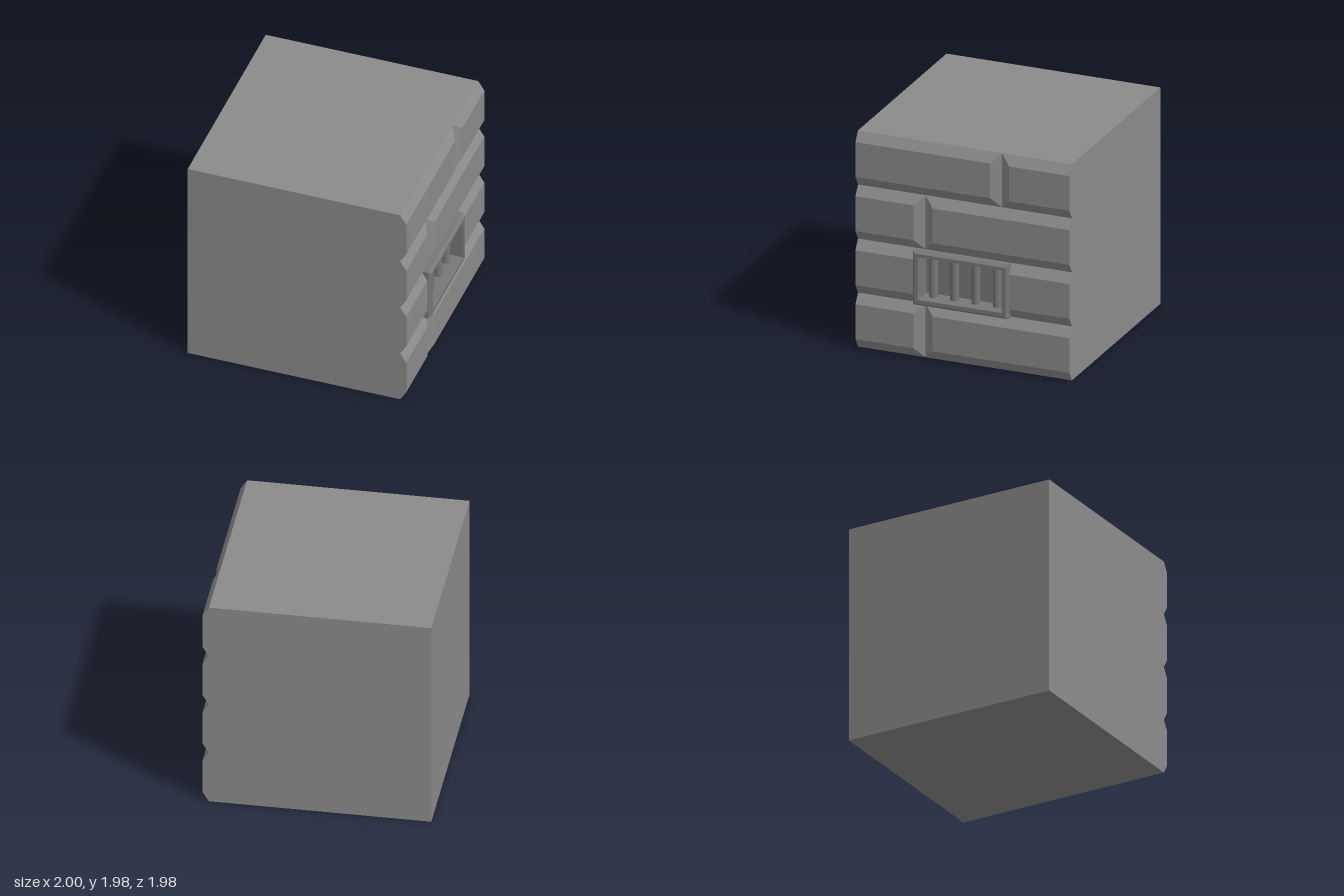
import * as THREE from 'three';

const HALF = 0.988, ROW = 0.494, BEVEL = 0.088; // half depth, course height, chamfer width
const WALL = 0.915, FACE = 0.97, BACK = 0.81;   // x of mortar plane, brick face, recess back
const OPEN = { z0: -0.375, z1: 0.4, y0: 0.55, y1: 0.94 };
const FRAME = { z0: -0.43, z1: 0.455, y0: ROW, y1: 2 * ROW };
const SIDE = { z0: -HALF, z1: HALF, y0: 0, y1: 4 * ROW };

const stone = new THREE.MeshStandardMaterial({ color: 0x8b8b8b, flatShading: true });
const metal = new THREE.MeshStandardMaterial({ color: 0x777777, flatShading: true });
const roundMetal = new THREE.MeshStandardMaterial({ color: 0x777777 });

function add(parent, name, geometry, material) {
  const mesh = new THREE.Mesh(geometry, material);
  mesh.name = name;
  parent.add(mesh);
  return mesh;
}

// Rectangular plate lying in the z-y plane, pierced by a hole, from x0 to x1
function piercedPlate(outer, hole, x0, x1) {
  const rect = (Type, q) => new Type([
    new THREE.Vector2(-q.z1, q.y0), new THREE.Vector2(-q.z0, q.y0),
    new THREE.Vector2(-q.z0, q.y1), new THREE.Vector2(-q.z1, q.y1),
  ]);
  const shape = rect(THREE.Shape, outer);
  shape.holes.push(rect(THREE.Path, hole));
  return new THREE.ExtrudeGeometry(shape, { depth: x1 - x0, bevelEnabled: false })
    .rotateY(Math.PI / 2).translate(x0, 0, 0);
}

// Brick with chamfered top and bottom; each end is chamfered only at a joint
function brick(row, z0, z1, cut0, cut1) {
  const g = new THREE.BoxGeometry(FACE - WALL, ROW, z1 - z0);
  const p = g.attributes.position;
  for (let i = 0; i < p.count; i++) {
    if (p.getX(i) < 0) continue;
    p.setY(i, p.getY(i) - Math.sign(p.getY(i)) * BEVEL);
    p.setZ(i, p.getZ(i) + (p.getZ(i) < 0 ? cut0 : -cut1));
  }
  g.translate((WALL + FACE) / 2, (row + 0.5) * ROW, (z0 + z1) / 2);
  g.computeVertexNormals();
  return g;
}

export function createModel() {
  const model = new THREE.Group();
  model.name = 'wallBlock';

  // Solid block, with a pocket for the vent in its right side
  const core = new THREE.BoxGeometry(BACK + 1, 4 * ROW, 2 * HALF);
  add(model, 'blockCore', core.translate((BACK - 1) / 2, 2 * ROW, 0), stone);
  add(model, 'pocketWall', piercedPlate(SIDE, FRAME, BACK, WALL), stone);

  // Brick courses with staggered joints
  const bricks = new THREE.Group();
  bricks.name = 'bricks';
  model.add(bricks);
  [[0, 0.364], [2, 0.364], [3, -0.343]].forEach(([row, joint]) => {
    add(bricks, 'brick', brick(row, -HALF, joint, 0, BEVEL), stone);
    add(bricks, 'brick', brick(row, joint, HALF, BEVEL, 0), stone);
  });
  add(bricks, 'shortBrick', brick(1, -HALF, FRAME.z0, 0, 0), stone);
  add(bricks, 'shortBrick', brick(1, FRAME.z1, HALF, 0, 0), stone);

  // Vent: back panel, deep frame and chamfered outer rim
  const vent = new THREE.Group();
  vent.name = 'vent';
  model.add(vent);
  const midY = (OPEN.y0 + OPEN.y1) / 2, midZ = (OPEN.z0 + OPEN.z1) / 2;
  add(vent, 'backPanel', new THREE.BoxGeometry(0.01, OPEN.y1 - OPEN.y0, OPEN.z1 - OPEN.z0), metal)
    .position.set(BACK, midY, midZ);
  add(vent, 'frame', piercedPlate(FRAME, OPEN, BACK, 0.975), metal);
  const rim = piercedPlate(FRAME, OPEN, 0.975, 1);
  const p = rim.attributes.position;
  const inset = (v, lo, hi) => v < lo + 0.01 ? v + 0.02 : v > hi - 0.01 ? v - 0.02 : v;
  for (let i = 0; i < p.count; i++) {
    if (p.getX(i) < 0.99) continue;
    p.setY(i, inset(p.getY(i), FRAME.y0, FRAME.y1));
    p.setZ(i, inset(p.getZ(i), FRAME.z0, FRAME.z1));
  }
  rim.computeVertexNormals();
  add(vent, 'frameRim', rim, metal);

  // Upright bars inside the recess
  const barGeometry = new THREE.CylinderGeometry(0.039, 0.039, OPEN.y1 - OPEN.y0, 24, 1, true);
  for (let i = 0; i < 4; i++) {
    add(vent, 'bar', barGeometry, roundMetal).position.set(0.873, midY, 0.31 - i * 0.197);
  }
  return model;
}
